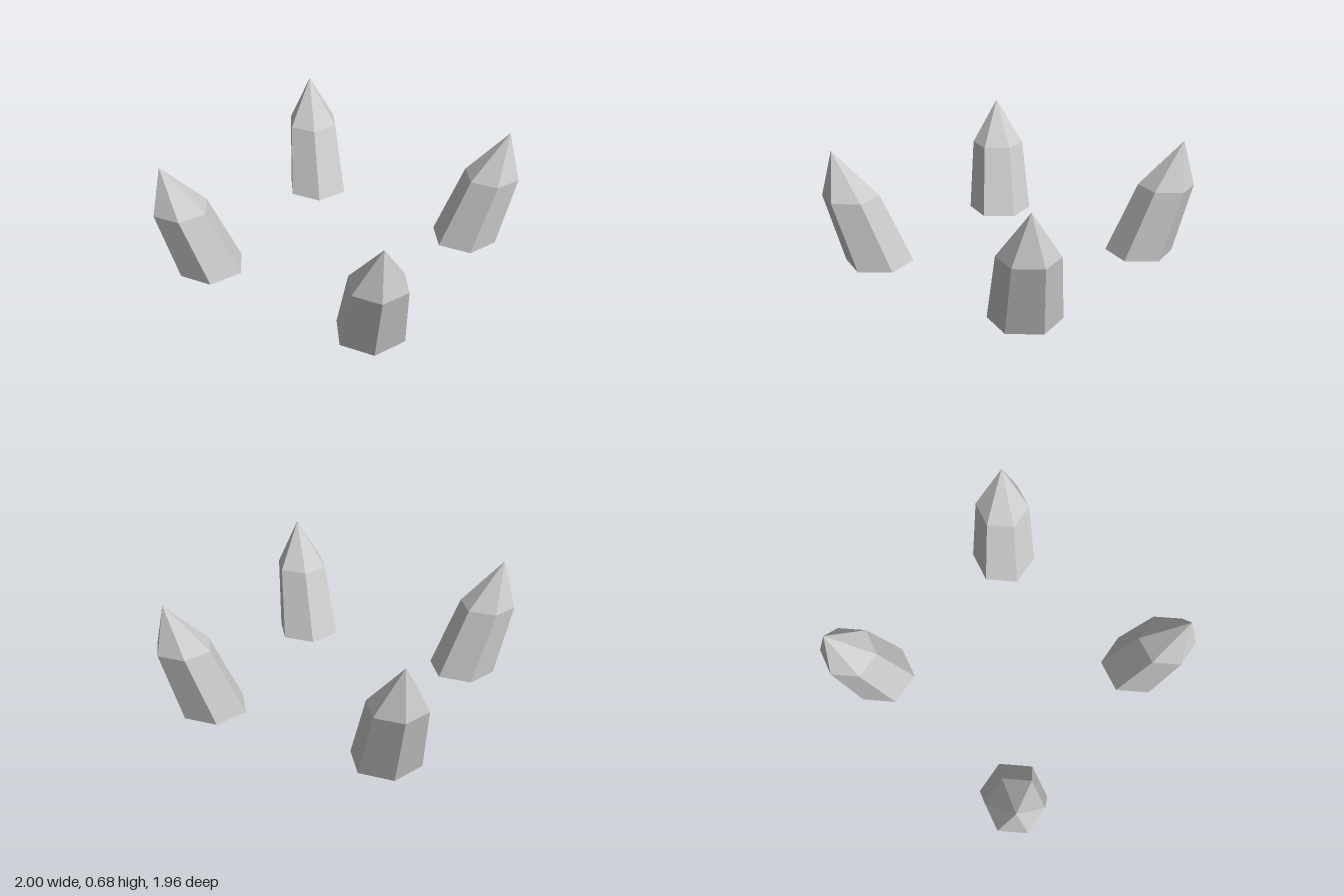
import * as THREE from 'three';

// Six-sided crystal with a pointed tip, leaning outward from the middle
function makeCrystal(x, z, material) {
  const lean = 0.452;
  const profile = [[0, 0], [0.197, 0], [0.163, 0.41], [0, 0.675]].map(([r, y]) => new THREE.Vector2(r, y));
  const geometry = new THREE.LatheGeometry(profile, 6, Math.PI / 2);
  const shear = new THREE.Matrix4().set(
    1, x * lean, 0, 0,
    0, 1, 0, 0,
    0, z * lean, 1, 0,
    0, 0, 0, 1);
  geometry.applyMatrix4(shear);
  const mesh = new THREE.Mesh(geometry, material);
  mesh.position.set(x, 0, z);
  return mesh;
}

export function createModel() {
  const group = new THREE.Group();
  group.name = 'crystalRing';
  const stone = new THREE.MeshStandardMaterial({ color: 0xcccccc, flatShading: true });
  stone.name = 'pale grey stone';

  // Four crystals, a quarter turn apart
  const spots = {
    backCrystal: [0.302, -0.706],
    leftCrystal: [0.706, 0.302],
    frontCrystal: [-0.302, 0.706],
    rightCrystal: [-0.706, -0.302],
  };
  for (const [name, [x, z]] of Object.entries(spots)) {
    const crystal = makeCrystal(x, z, stone);
    crystal.name = name;
    group.add(crystal);
  }
  return group;
}
